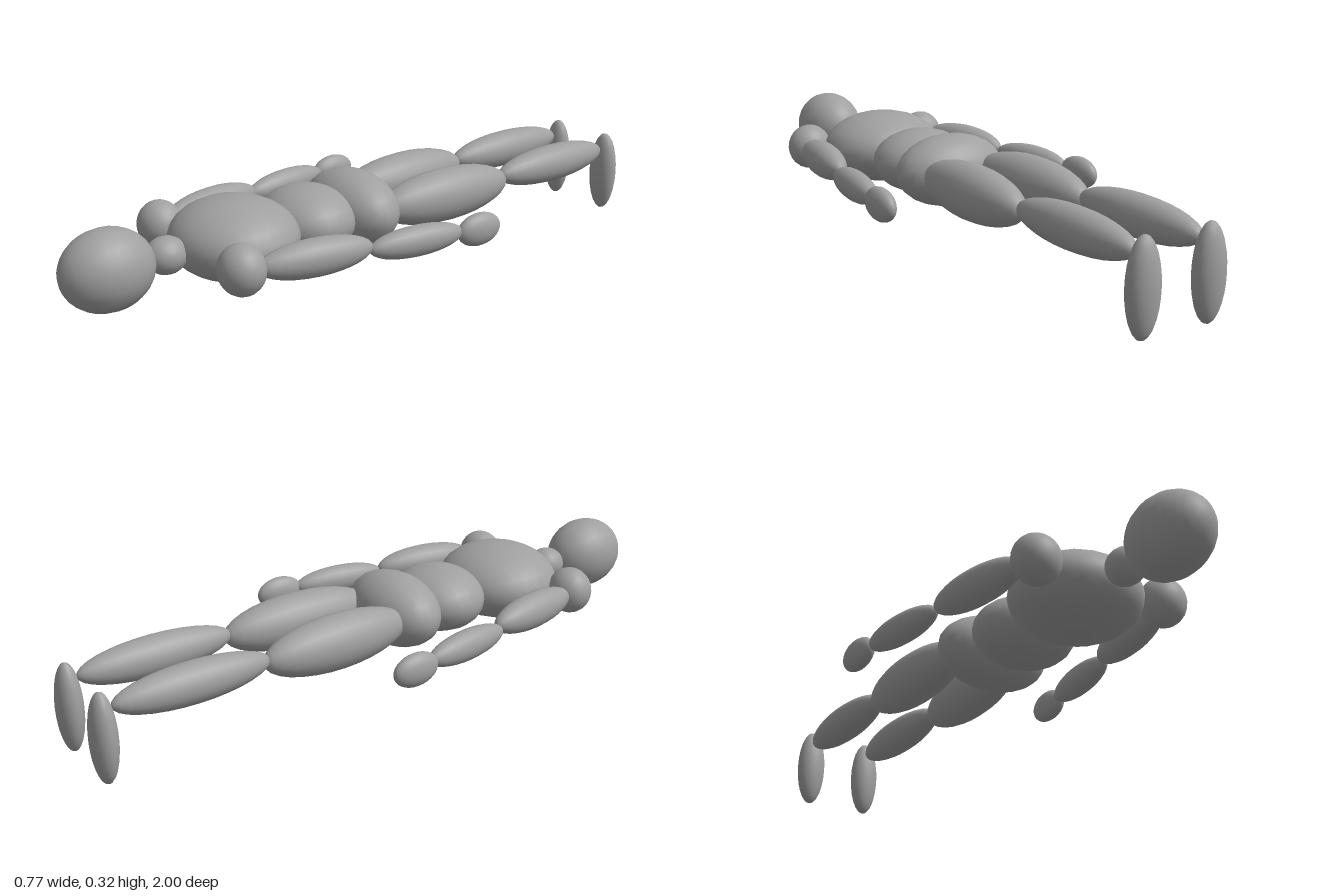
import * as THREE from 'three';

const grey = new THREE.MeshStandardMaterial({ color: 0xa0a0a0 });
grey.name = 'grey';

// One unit ball, pole along z (the body's long axis), shared by every part
const ball = new THREE.SphereGeometry(1, 24, 16).rotateX(Math.PI / 2);

function ellipsoid(name, centre, radii, yaw = 0) {
  const mesh = new THREE.Mesh(ball, grey);
  mesh.name = name;
  mesh.position.set(...centre);
  mesh.scale.set(...radii);
  mesh.rotation.y = yaw;
  return mesh;
}

export function createModel() {
  const figure = new THREE.Group();
  figure.name = 'lyingFigure';

  // Head and trunk along the centre line
  figure.add(
    ellipsoid('head', [0, 0.207, 0.866], [0.105, 0.116, 0.134]),
    ellipsoid('neck', [0, 0.204, 0.69], [0.055, 0.054, 0.06]),
    ellipsoid('chest', [0, 0.205, 0.473], [0.196, 0.116, 0.185]),
    ellipsoid('abdomen', [0, 0.203, 0.222], [0.158, 0.101, 0.14]),
    ellipsoid('pelvis', [0, 0.205, 0.053], [0.18, 0.112, 0.115])
  );

  // Limbs: name, centre, radii, yaw (for the left side, mirrored for the right)
  const limbs = [
    ['Shoulder', [0.216, 0.205, 0.587], [0.071, 0.073, 0.066], 0],
    ['UpperArm', [0.266, 0.205, 0.382], [0.051, 0.055, 0.175], -0.165],
    ['Forearm', [0.322, 0.194, 0.071], [0.041, 0.046, 0.155], -0.14],
    ['Hand', [0.353, 0.188, -0.139], [0.032, 0.05, 0.077], -0.04],
    ['Thigh', [0.102, 0.207, -0.23], [0.076, 0.083, 0.25], -0.03],
    ['Shin', [0.107, 0.217, -0.697], [0.057, 0.06, 0.237], 0],
    ['Foot', [0.107, 0.134, -0.963], [0.049, 0.134, 0.037], 0]
  ];
  for (const [side, s] of [['left', 1], ['right', -1]]) {
    for (const [name, [x, y, z], radii, yaw] of limbs) {
      figure.add(ellipsoid(side + name, [s * x, y, z], radii, s * yaw));
    }
  }
  return figure;
}
